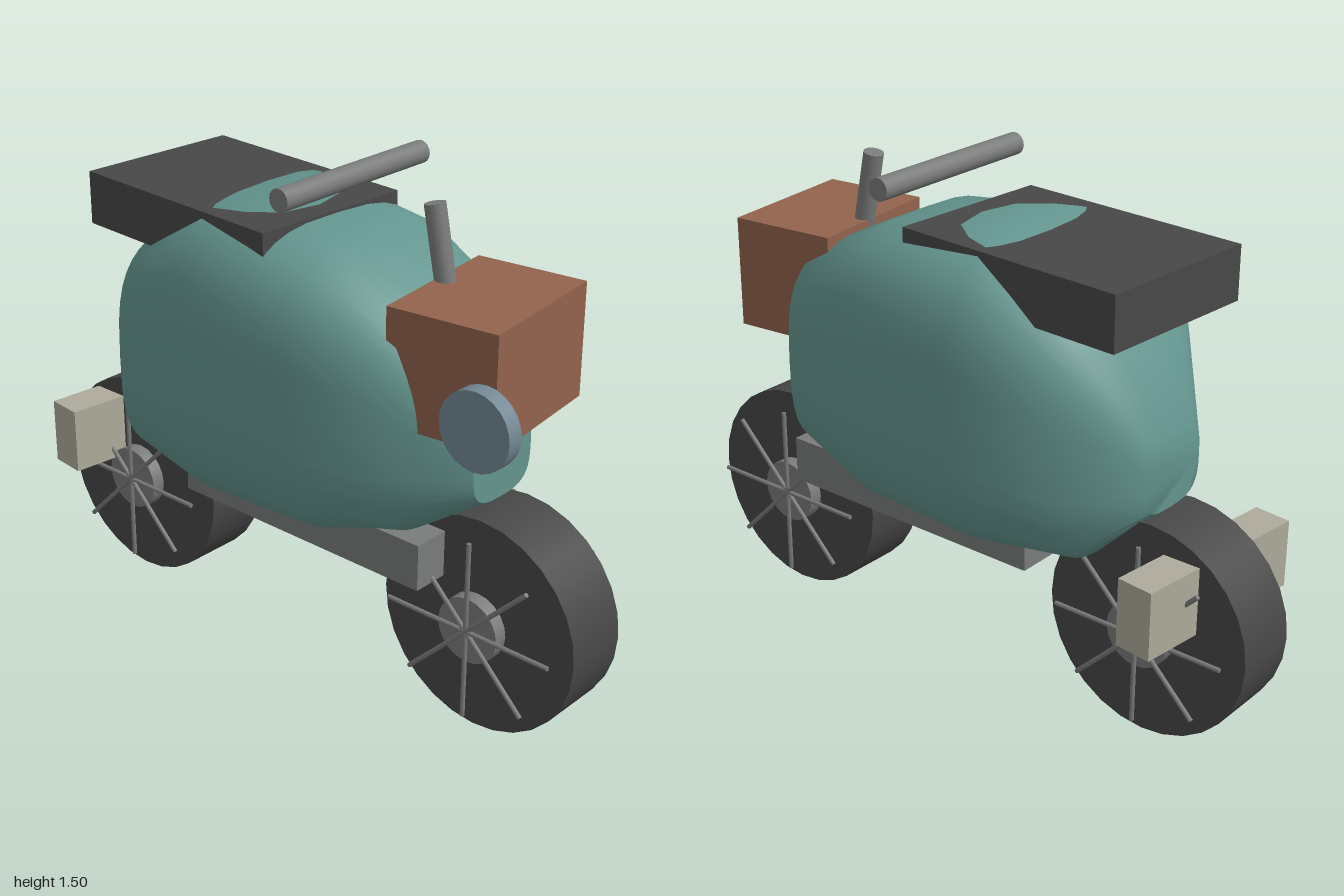
import * as THREE from 'three';
import { toCreasedNormals } from 'three/addons/utils/BufferGeometryUtils.js';

const mat = (color, extra = {}) => new THREE.MeshStandardMaterial({ color, ...extra });
const teal = mat(0x64958f), dark = mat(0x484848), grey = mat(0x7a7c7b);
const brown = mat(0x92634c), beige = mat(0xaeaa9c), lampBlue = mat(0x748894);

function add(parent, name, geometry, material, x = 0, y = 0, z = 0) {
  const mesh = new THREE.Mesh(geometry, material);
  mesh.name = name;
  mesh.position.set(x, y, z);
  parent.add(mesh);
  return mesh;
}

const rod = (r, length, sides = 16) => new THREE.CylinderGeometry(r, r, length, sides);
const axle = (r, length, sides) => rod(r, length, sides).rotateX(Math.PI / 2);

// Loft of rounded cross-sections along x, closed with flat ends
function bodyGeometry() {
  // x, bottom, top, half width
  const sections = [
    [-0.67, 0.66, 0.89, 0.13],
    [-0.5, 0.5, 1.21, 0.325],
    [-0.2, 0.465, 1.385, 0.397],
    [0.2, 0.475, 1.335, 0.372],
    [0.48, 0.56, 1.2, 0.303],
    [0.662, 0.68, 0.92, 0.127],
  ];
  const n = 40, power = 2 / 3.2;
  const round = (v) => Math.sign(v) * Math.abs(v) ** power;
  const positions = [], index = [];
  for (const [x, bottom, top, half] of sections) {
    for (let i = 0; i < n; i++) {
      const a = (i / n) * Math.PI * 2;
      positions.push(x, (bottom + top) / 2 + round(Math.sin(a)) * (top - bottom) / 2, round(Math.cos(a)) * half);
    }
  }
  const last = (sections.length - 1) * n;
  for (let s = 0; s < last; s += n) {
    for (let i = 0; i < n; i++) {
      const j = (i + 1) % n;
      index.push(s + i, s + n + i, s + j, s + j, s + n + i, s + n + j);
    }
  }
  for (let i = 1; i < n - 1; i++) {
    index.push(0, i, i + 1, last, last + i + 1, last + i);
  }
  const g = new THREE.BufferGeometry();
  g.setAttribute('position', new THREE.Float32BufferAttribute(positions, 3));
  g.setIndex(index);
  return toCreasedNormals(g, 0.75);
}

// Wheel with a hub and crossed spokes on both sides
function makeWheel(name, x) {
  const wheel = new THREE.Group();
  wheel.name = name;
  wheel.position.set(x, 0.325, 0);
  add(wheel, 'tyre', axle(0.325, 0.21, 28), dark);
  add(wheel, 'hub', axle(0.1, 0.295, 20), grey);
  for (const side of [-1, 1]) {
    for (let i = 0; i < 4; i++) {
      const spoke = add(wheel, 'spoke', rod(0.007, 0.55, 8), grey, 0, 0, side * 0.153);
      spoke.rotation.z = (i * Math.PI) / 4;
    }
  }
  return wheel;
}

export function createModel() {
  const model = new THREE.Group();
  model.name = 'scooter';

  model.add(makeWheel('rearWheel', -0.675), makeWheel('frontWheel', 0.675));
  add(model, 'body', bodyGeometry(), teal);
  add(model, 'chassis', new THREE.BoxGeometry(0.895, 0.14, 0.44), grey, 0.108, 0.505, 0);

  // Slightly skewed boxes
  const seat = add(model, 'seat', new THREE.BoxGeometry(0.75, 0.16, 0.52), dark, -0.31, 1.28, -0.003);
  seat.rotation.y = -0.064;
  const basket = add(model, 'frontBox', new THREE.BoxGeometry(0.334, 0.335, 0.457), brown, 0.589, 1.083, -0.003);
  basket.rotation.y = 0.114;
  const bracket = add(model, 'rearBlock', new THREE.BoxGeometry(0.115, 0.205, 0.58), beige, -0.794, 0.473, -0.004);
  bracket.rotation.y = -0.11;

  // Steering and lamp
  add(model, 'handlebar', axle(0.033, 0.585), grey, 0.118, 1.47, 0);
  const stem = add(model, 'steeringStem', rod(0.03, 0.4), grey, 0.443, 1.26, -0.003);
  stem.rotation.z = 0.2;
  add(model, 'headlamp', axle(0.112, 0.05, 24), lampBlue, 0.768, 1.007, 0.252);

  return model;
}
